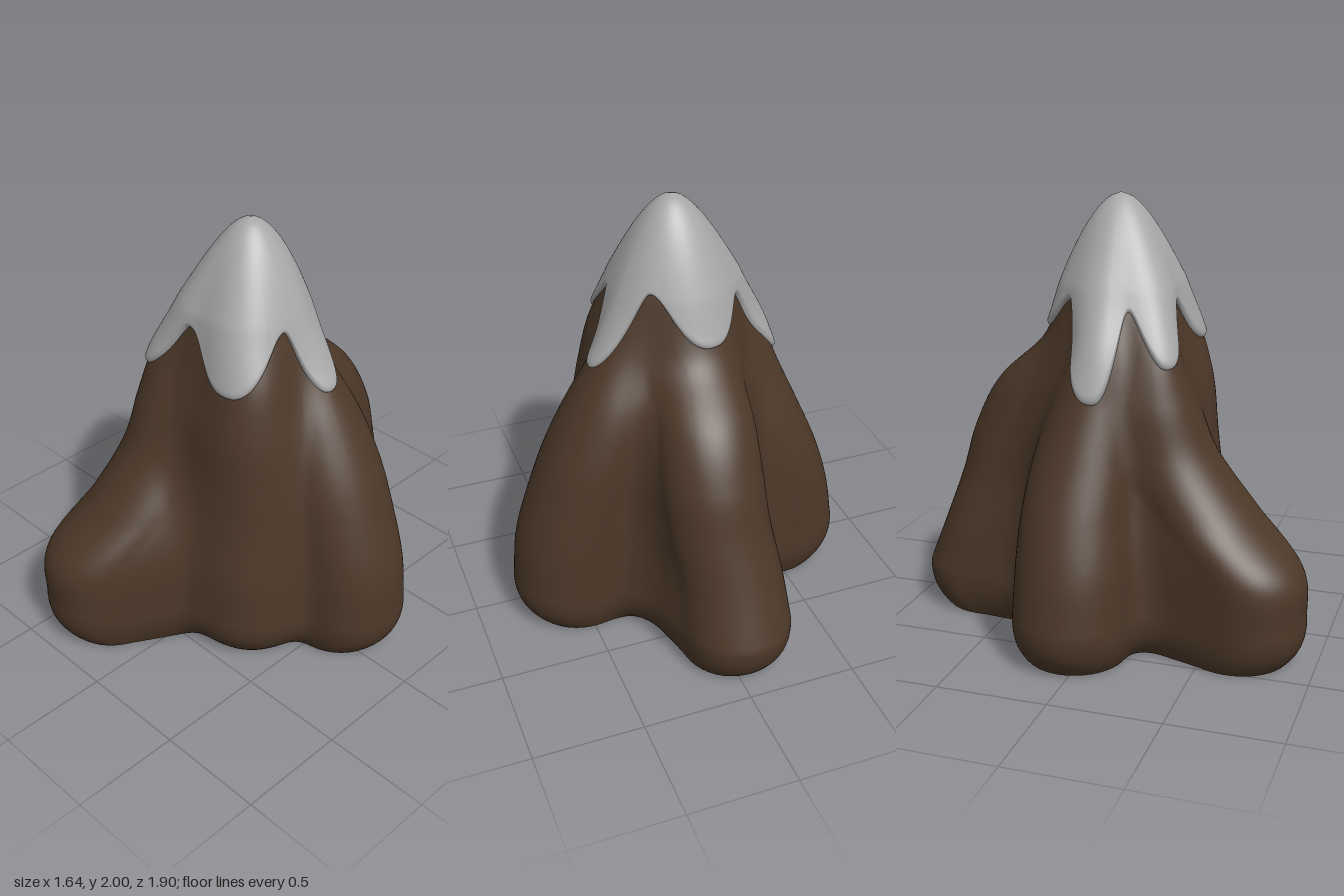
import * as THREE from 'three';

const PEAK = 1.97, FOOT = 0.2, SHOULDER = 1.6, SEGMENTS = 240;

// Each ridge is a tapered capsule in plan, from the axis to (x, z) with an end of radius w;
// at the axis it is `root` times as wide.
// Values are listed at seven even heights from the foot to the shoulder.
const ridge = (root, x, z, w) => ({
  root,
  curve: new THREE.CatmullRomCurve3(
    w.map((r, i) => new THREE.Vector3(x[i], z[i], r)), false, 'catmullrom', 0.5),
});
const ridges = [
  // core
  ridge(1, Array(7).fill(-.03), Array(7).fill(.005), [.5, .475, .44, .4, .355, .295, .235]),
  // right
  ridge(1.3, [-.56, -.525, -.465, -.38, -.33, -.31, -.19],
    [-.05, -.05, -.055, -.04, -.01, .02, 0],
    [.26, .255, .24, .225, .175, .11, .09]),
  // left
  ridge(1.3, [.56, .54, .475, .395, .305, .235, .12],
    [-.1, -.1, -.1, -.1, -.095, -.08, -.05],
    [.26, .255, .25, .24, .205, .125, .1]),
  // back
  ridge(1.65, [-.05, -.04, -.01, 0, -.01, -.03, -.03],
    [-.7, -.62, -.545, -.48, -.37, -.17, -.1],
    [.25, .24, .235, .23, .21, .16, .12]),
  // front right foothill
  ridge(1.5, [-.32, -.32, -.25, -.23, -.24, -.24, -.14],
    [.7, .675, .45, .295, .235, .215, .15],
    [.25, .25, .25, .22, .18, .11, .09]),
  // front left
  ridge(1.1, [.22, .215, .2, .185, .17, .17, .1],
    [.21, .2, .17, .165, .175, .17, .12],
    [.28, .27, .255, .235, .21, .155, .12]),
];

// Snow edge: [angle from the front in degrees, height], alternating drip and notch
const snowEdge = [[29, 1.33], [75, 1.57], [100, 1.28], [138, 1.63], [194, 1.4],
  [237, 1.55], [273, 1.15], [293, 1.52], [313, 1.29], [342, 1.54], [389, 1.33]];

// Radii of one horizontal section, found by stepping inwards to the blended ridges
function sectionRadii(y) {
  const h = THREE.MathUtils.clamp((y - FOOT) / (SHOULDER - FOOT), 0, 1);
  const ends = ridges.map(({ root, curve }) => ({ root, end: curve.getPoint(h) }));
  const blend = 0.1;
  const distance = (px, pz) => {
    let d = 9;
    for (const { root, end: { x, y: z, z: w } } of ends) {
      const t = THREE.MathUtils.clamp((px * x + pz * z) / (x * x + z * z), 0, 1);
      const e = Math.hypot(px - t * x, pz - t * z) - w * THREE.MathUtils.lerp(root, 1, t);
      const k = Math.max(blend - Math.abs(d - e), 0) / blend;
      d = Math.min(d, e) - k * k * blend / 4;
    }
    return d;
  };
  const tuck = 0.085 * Math.max(0, 1 - y / FOOT) ** 2.5;
  const u = y > SHOULDER ? Math.max(0, (PEAK - y) / (PEAK - SHOULDER)) : 1;
  return Array.from({ length: SEGMENTS }, (_, j) => {
    const a = j / SEGMENTS * Math.PI * 2, sx = Math.sin(a), sz = Math.cos(a);
    let r = 1.2;
    for (let n = 0; n < 60; n++) {
      const d = distance(r * sx, r * sz);
      if (d < 0.0008) break;
      r -= d * 0.85;
    }
    return THREE.MathUtils.lerp(0.25, r, u) * u ** 0.56 - tuck;
  });
}

const LEVELS = 120;
const sections = Array.from({ length: LEVELS + 1 }, (_, i) => sectionRadii(PEAK * i / LEVELS));

// Rock radius at any height
function rockRadius(j, y) {
  const f = THREE.MathUtils.clamp(y / PEAK, 0, 1) * LEVELS, i = Math.min(Math.floor(f), LEVELS - 1);
  return THREE.MathUtils.lerp(sections[i][j], sections[i + 1][j], f - i);
}

function edgeHeight(j) {
  let a = j / SEGMENTS * 360;
  if (a <= 29) a += 360;
  const i = snowEdge.findIndex(p => p[0] >= a);
  const [a0, y0] = snowEdge[i - 1], [a1, y1] = snowEdge[i];
  const t = (a - a0) / (a1 - a0), s = y0 < y1 ? t : 1 - t;
  return Math.min(y0, y1) + Math.abs(y1 - y0) * ((1 - Math.cos(Math.PI * s)) / 2) ** 1.3;
}

// Round skin from rows of [radius, height]
function skin(rows, point) {
  const pos = [], index = [];
  for (let i = 0; i <= rows; i++) {
    for (let j = 0; j < SEGMENTS; j++) {
      const a = j / SEGMENTS * Math.PI * 2, [r, y] = point(i, j);
      pos.push(r * Math.sin(a), y, r * Math.cos(a));
      if (i === rows) continue;
      const p = i * SEGMENTS + j, q = i * SEGMENTS + (j + 1) % SEGMENTS;
      index.push(p, q, q + SEGMENTS, p, q + SEGMENTS, p + SEGMENTS);
    }
  }
  const g = new THREE.BufferGeometry();
  g.setAttribute('position', new THREE.Float32BufferAttribute(pos, 3));
  g.setIndex(index);
  g.computeVertexNormals();
  return g;
}

export function createModel() {
  const rock = new THREE.MeshStandardMaterial({ name: 'rock brown', color: 0x4c3828 });
  const snow = new THREE.MeshStandardMaterial({ name: 'snow grey', color: 0xa8a8a8 });
  const model = new THREE.Group();
  model.name = 'mountain';
  const add = (name, geometry, material) => {
    const mesh = new THREE.Mesh(geometry, material);
    mesh.name = name;
    model.add(mesh);
  };

  // Rocky body
  add('mountainBody', skin(LEVELS, (i, j) => [sections[i][j], PEAK * i / LEVELS]), rock);

  // Flat underside
  add('mountainBase', skin(1, (i, j) => [i ? sections[0][j] : 0, 0]), rock);

  // Snow cap: follows the rock, with a rounded lip along its dripping edge
  const edge = Array.from({ length: SEGMENTS }, (_, j) => edgeHeight(j));
  const rows = 48;
  add('snowCap', skin(rows, (i, j) => {
    const f = (1 - Math.cos(Math.PI * i / rows)) / 2;
    const y = edge[j] + (PEAK - edge[j]) * f;
    const lip = Math.sqrt(1 - (1 - Math.min(1, f / 0.06)) ** 2);
    return [rockRadius(j, y) - 0.006 * (1 - f) + 0.028 * lip * Math.sqrt(1 - f), y + 0.03 * f];
  }), snow);

  return model;
}
